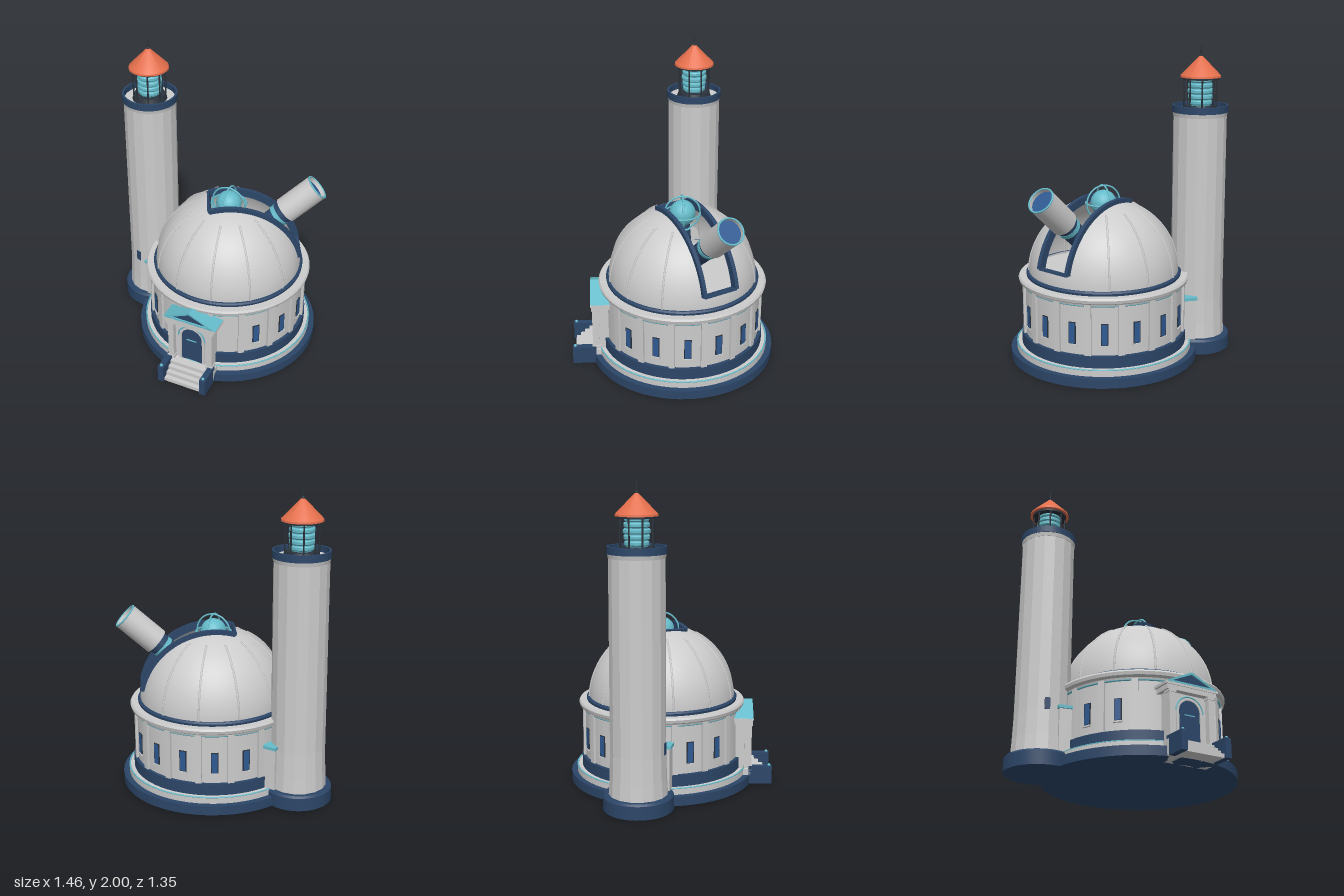
import * as THREE from 'three';
import { ParametricGeometry } from 'three/addons/geometries/ParametricGeometry.js';
import { toCreasedNormals } from 'three/addons/utils/BufferGeometryUtils.js';

const material = (color) => new THREE.MeshStandardMaterial({ color });
const GREY = material(0xcccccc);
const NAVY = material(0x2c4668);
const BLUE = material(0x2f5a92);
const TEAL = material(0x66bccb);
const DARK = material(0x2a323c);
const ORANGE = material(0xe46f4c);
const SHELL = new THREE.MeshStandardMaterial({ color: 0xcccccc, side: THREE.DoubleSide });
const rad = THREE.MathUtils.degToRad;

function add(parent, name, geometry, mat, x = 0, y = 0, z = 0) {
  const mesh = new THREE.Mesh(geometry, mat);
  mesh.name = name;
  mesh.position.set(x, y, z);
  parent.add(mesh);
  return mesh;
}
function group(parent, name, x = 0, y = 0, z = 0, turn = 0) {
  const g = new THREE.Group();
  g.name = name;
  g.position.set(x, y, z);
  g.rotation.y = turn;
  parent.add(g);
  return g;
}
const box = (w, h, d) => new THREE.BoxGeometry(w, h, d);
const drum = (r, h, n = 64, top = r) => new THREE.CylinderGeometry(top, r, h, n);
const lathe = (points, n = 64) => toCreasedNormals(
  new THREE.LatheGeometry(points.map(([r, y]) => new THREE.Vector2(r, y)), n), 0.5);
const extrude = (shape, depth) => new THREE.ExtrudeGeometry(shape, { depth, bevelEnabled: false, curveSegments: 24 });
function ring(parent, name, r, tube, mat, y, n = 64) {
  const mesh = add(parent, name, new THREE.TorusGeometry(r, tube, 8, n), mat, 0, y, 0);
  mesh.rotation.x = Math.PI / 2;
  return mesh;
}

// Round hall: stepped plinth, wall with pilasters and windows, cornice
function buildHall(parent) {
  const hall = group(parent, 'hall', 0.115, 0, -0.06);
  add(hall, 'lowerPlinth', drum(0.61, 0.06), NAVY, 0, 0.03);
  add(hall, 'middlePlinth', drum(0.572, 0.04), GREY, 0, 0.08);
  ring(hall, 'plinthTrim', 0.568, 0.005, TEAL, 0.1);
  add(hall, 'upperPlinth', drum(0.537, 0.075), NAVY, 0, 0.1375);
  add(hall, 'wall', drum(0.515, 0.33), GREY, 0, 0.335);
  ring(hall, 'wallTrim', 0.52, 0.007, TEAL, 0.493);
  add(hall, 'cornice', lathe([[0, 0.49], [0.525, 0.49], [0.53, 0.505], [0.548, 0.515],
    [0.553, 0.535], [0.545, 0.548], [0, 0.548]]), GREY);
  for (let i = 0; i < 16; i++) {
    const pilaster = group(hall, 'pilaster', 0, 0, 0, rad(11.25 + 22.5 * i));
    add(pilaster, 'pilasterShaft', box(0.04, 0.325, 0.03), GREY, 0, 0.337, 0.515);
    // The doorway and the tower passage take the place of some windows
    if ([0, 1, 12, 15].includes(i)) continue;
    const window = group(hall, 'window', 0, 0, 0, rad(22.5 * i));
    add(window, 'windowFrame', box(0.046, 0.14, 0.012), DARK, 0, 0.31, 0.514);
    add(window, 'windowPane', box(0.036, 0.13, 0.016), BLUE, 0, 0.31, 0.515);
    add(window, 'windowSill', box(0.056, 0.01, 0.024), GREY, 0, 0.236, 0.515);
  }
}

// Dome: sphere cut by a slot, seen in a frame whose +x points down the slot
const R = 0.485, HALF = 0.115, START = rad(12), END = rad(106);
function domePatch(a0, a1, p0, p1) {
  return new ParametricGeometry((u, v, target) => {
    const a = a0 + (a1 - a0) * u, p = p0 + (p1 - p0) * v, r = R * Math.cos(a);
    target.set(r * Math.cos(p), r * Math.sin(p), R * Math.sin(a));
  }, 20, 40);
}
function buildDome(parent) {
  const dome = group(parent, 'dome', 0.115, 0.555, -0.06, rad(26));
  const cut = Math.asin(HALF / R);
  add(dome, 'domeSide', domePatch(cut, Math.PI / 2, 0, Math.PI), SHELL);
  add(dome, 'domeSide', domePatch(-Math.PI / 2, -cut, 0, Math.PI), SHELL);
  add(dome, 'domeBack', domePatch(-cut, cut, END, Math.PI), SHELL);
  add(dome, 'domeSill', domePatch(-cut, cut, 0, START), SHELL);
  add(dome, 'domeRing', lathe([[0.47, -0.01], [0.5, -0.01], [0.503, 0.008], [0.495, 0.018], [0.47, 0.018]]), NAVY);

  // Raised ribs, leaving out the two that the slot replaces
  for (let i = 1; i < 11; i++) {
    const rib = add(dome, 'rib', new THREE.TorusGeometry(R, 0.007, 6, 24, rad(62)), GREY);
    rib.rotation.y = rad(15 + 30 * i);
  }

  // Navy rails along the slot and bars across its ends
  const inner = R * Math.cos(cut) - 0.025, outer = inner + 0.05;
  const arc = new THREE.Shape();
  arc.absarc(0, 0, outer, START, END, false);
  arc.absarc(0, 0, inner, END, START, true);
  for (const s of [-1, 1]) add(dome, 'slotRail', extrude(arc, 0.026), NAVY, 0, 0, s * HALF - 0.013);
  for (const p of [START, END]) {
    const bar = add(dome, 'slotBar', box(0.045, 0.016, 2 * HALF), NAVY,
      (inner + 0.025) * Math.cos(p), (inner + 0.025) * Math.sin(p));
    bar.rotation.z = p;
  }

  // Telescope on its pier
  add(dome, 'pier', drum(0.08, 0.4, 24, 0.045), NAVY, 0, 0.2);
  const scope = group(dome, 'telescope', 0, 0.06, 0);
  scope.rotation.z = rad(-48);
  add(scope, 'lowerTube', drum(0.062, 0.46, 32, 0.068), NAVY, 0, 0.23);
  add(scope, 'tubeCollar', drum(0.075, 0.03, 32), TEAL, 0, 0.445);
  add(scope, 'tubeNeck', drum(0.072, 0.05, 32), NAVY, 0, 0.48);
  add(scope, 'upperTube', lathe([[0, 0.5], [0.087, 0.5], [0.087, 0.765], [0.077, 0.765], [0.077, 0.72]], 32), SHELL);
  ring(scope, 'tubeRim', 0.083, 0.006, TEAL, 0.765, 32);
  add(scope, 'lens', drum(0.078, 0.01, 32), BLUE, 0, 0.735);

  // Globe with three hoops
  const globe = group(dome, 'armillaryGlobe', 0, 0.455, 0, rad(-26));
  add(globe, 'globe', new THREE.SphereGeometry(0.084, 32, 20), TEAL);
  add(globe, 'globeFoot', drum(0.055, 0.04, 24, 0.03), TEAL, 0, -0.085);
  const hoop = new THREE.TorusGeometry(0.114, 0.006, 8, 48);
  add(globe, 'hoop', hoop, TEAL);
  add(globe, 'hoop', hoop, TEAL).rotation.y = Math.PI / 2;
  add(globe, 'hoop', hoop, TEAL).rotation.x = Math.PI / 2;
}

// Entrance: porch with arched door, gable and steps
function buildPorch(parent) {
  const porch = group(parent, 'porch', 0.115, 0, 0);
  add(porch, 'porchBody', box(0.29, 0.33, 0.1), GREY, 0, 0.255, 0.455);
  add(porch, 'porchFloor', box(0.34, 0.1, 0.13), GREY, 0, 0.05, 0.48);
  add(porch, 'entablature', box(0.345, 0.03, 0.12), GREY, 0, 0.42, 0.485);
  add(porch, 'entablatureCap', box(0.37, 0.015, 0.13), GREY, 0, 0.442, 0.485);
  const triangle = (w, h) => new THREE.Shape([new THREE.Vector2(-w, 0), new THREE.Vector2(w, 0), new THREE.Vector2(0, h)]);
  const gable = triangle(0.185, 0.087);
  gable.holes.push(new THREE.Path([[-0.135, 0.011], [0, 0.072], [0.135, 0.011]].map(([x, y]) => new THREE.Vector2(x, y))));
  add(porch, 'gable', extrude(gable, 0.13), TEAL, 0, 0.45, 0.42);
  add(porch, 'gablePanel', extrude(triangle(0.15, 0.076), 0.11), NAVY, 0, 0.452, 0.43);

  const archShape = (r, shape = new THREE.Shape()) => {
    shape.moveTo(-r, 0.1);
    shape.lineTo(r, 0.1);
    shape.lineTo(r, 0.295);
    shape.absarc(0, 0.295, r, 0, Math.PI, false);
    shape.lineTo(-r, 0.1);
    return shape;
  };
  add(porch, 'door', extrude(archShape(0.072), 0.01), NAVY, 0, 0, 0.5);
  add(porch, 'doorHandle', box(0.07, 0.006, 0.006), TEAL, 0, 0.275, 0.512);
  const trim = archShape(0.092);
  trim.holes.push(archShape(0.074, new THREE.Path()));
  add(porch, 'doorSurround', extrude(trim, 0.014), GREY, 0, 0, 0.5);
  add(porch, 'doorArch', new THREE.TorusGeometry(0.094, 0.005, 6, 32, Math.PI), TEAL, 0, 0.295, 0.513);

  for (const s of [-1, 1]) {
    add(porch, 'column', box(0.038, 0.29, 0.045), GREY, s * 0.137, 0.255, 0.518);
    add(porch, 'columnBase', box(0.05, 0.02, 0.055), GREY, s * 0.137, 0.115, 0.518);
    add(porch, 'columnCapital', box(0.05, 0.016, 0.055), GREY, s * 0.137, 0.398, 0.518);
    add(porch, 'stepCheek', box(0.04, 0.12, 0.155), NAVY, s * 0.15, 0.06, 0.598);
    add(porch, 'cheekLamp', new THREE.SphereGeometry(0.01, 12, 8), TEAL, s * 0.15, 0.125, 0.658);
  }
  for (let i = 0; i < 4; i++) {
    const depth = 0.13 - i * 0.03;
    add(porch, 'step', box(0.26, 0.025, depth), GREY, 0, 0.0125 + i * 0.025, 0.53 + depth / 2);
  }
}

// Light tower with lantern and cone roof
function buildTower(parent) {
  const tower = group(parent, 'tower', -0.51, 0, -0.18);
  add(tower, 'towerBase', lathe([[0, 0], [0.22, 0], [0.22, 0.085], [0.21, 0.098], [0, 0.098]]), NAVY);
  const shaft = new THREE.LatheGeometry([[0.185, 0.095], [0.179, 0.2], [0.174, 0.36], [0.172, 1.56]]
    .map(([r, y]) => new THREE.Vector2(r, y)), 16, Math.PI / 16).toNonIndexed();
  shaft.computeVertexNormals();
  add(tower, 'shaft', shaft, GREY);
  add(tower, 'galleryFloor', drum(0.172, 0.03, 48, 0.178), GREY, 0, 1.57);
  add(tower, 'galleryParapet', lathe([[0.166, 1.58], [0.18, 1.58], [0.18, 1.625], [0.166, 1.625], [0.166, 1.58]], 48), NAVY);
  add(tower, 'lanternBase', drum(0.115, 0.04, 32, 0.1), DARK, 0, 1.6);

  // Stacked lens of bulging glass rings
  add(tower, 'lensCore', drum(0.065, 0.19, 24), TEAL, 0, 1.705);
  for (let i = 0; i < 5; i++) {
    const r = 0.083 - 0.004 * Math.abs(i - 2);
    add(tower, 'lensRing', lathe([[0.06, -0.015], [r - 0.006, -0.015], [r, -0.008], [r, 0.008],
      [r - 0.006, 0.015], [0.06, 0.015]], 24), TEAL, 0, 1.64 + i * 0.036);
  }
  for (let i = 0; i < 8; i++) {
    const a = rad(22.5 + 45 * i);
    add(tower, 'lanternPost', drum(0.0055, 0.2, 8), DARK, 0.104 * Math.sin(a), 1.7, 0.104 * Math.cos(a));
  }
  add(tower, 'lanternTop', drum(0.112, 0.016, 32), DARK, 0, 1.795);
  add(tower, 'roof', lathe([[0, 1.8], [0.13, 1.8], [0.128, 1.812], [0.012, 1.932], [0, 1.935]], 32), ORANGE);
  add(tower, 'finial', new THREE.SphereGeometry(0.011, 12, 8), DARK, 0, 1.935);
  add(tower, 'spire', drum(0.004, 0.07, 8, 0.003), DARK, 0, 1.965);
  const slit = group(tower, 'towerWindow', 0, 0.395, 0, Math.atan2(-0.045, 0.17));
  add(slit, 'towerWindowPane', box(0.034, 0.075, 0.02), NAVY, 0, 0, 0.166);

  // Passage between tower and hall
  const passage = group(parent, 'passage', -0.4, 0, -0.16, rad(-11));
  add(passage, 'passageBody', box(0.1, 0.28, 0.37), GREY, 0, 0.23, 0);
  add(passage, 'passageRoof', box(0.115, 0.02, 0.39), TEAL, 0, 0.38, 0);
}

export function createModel() {
  const model = new THREE.Group();
  model.name = 'observatory';
  buildHall(model);
  buildDome(model);
  buildPorch(model);
  buildTower(model);
  return model;
}
